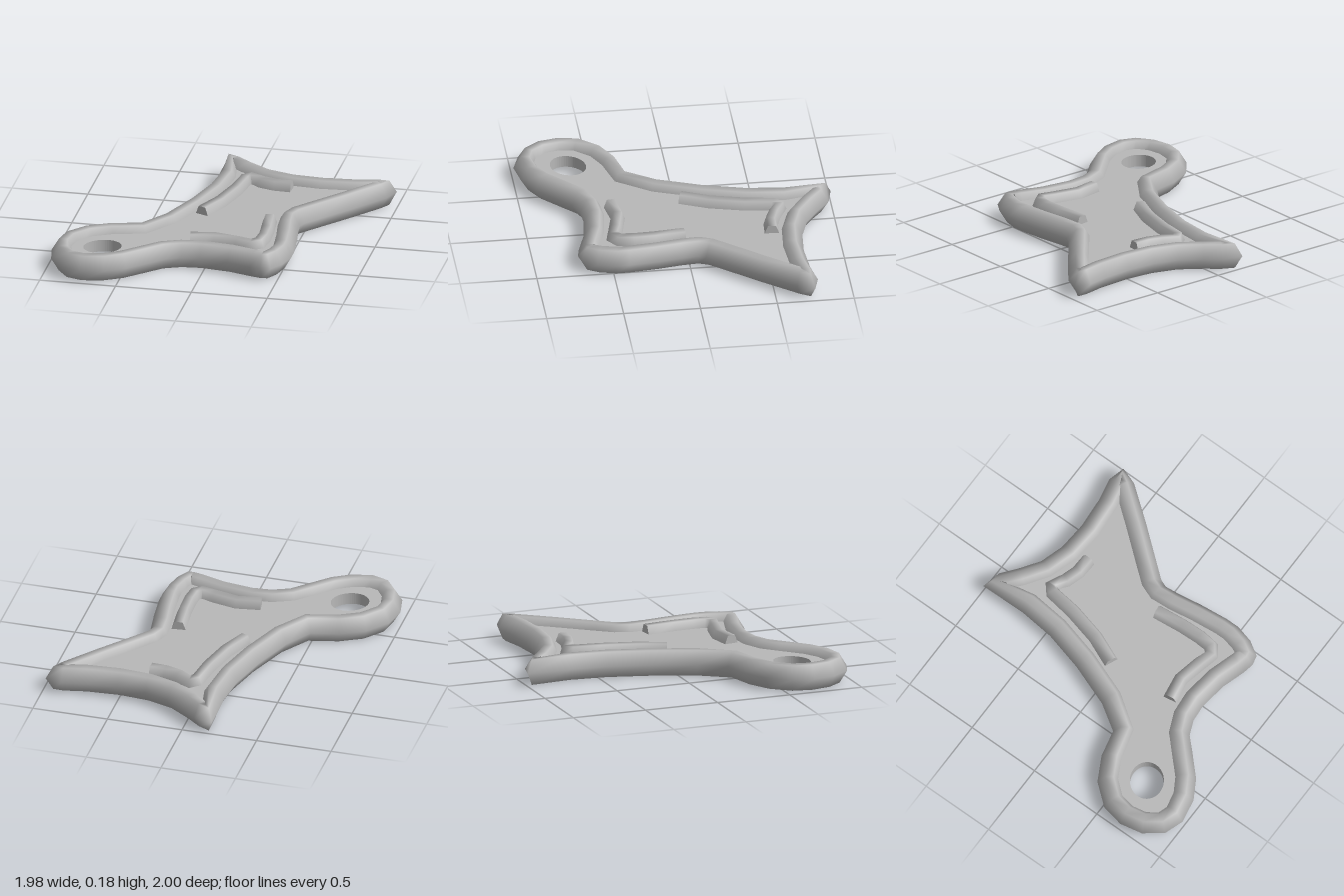
import * as THREE from 'three';

// Outer outline as [x, z], from the rear tip round by the model's left
const OUTLINE = [
  [-0.2, -1], [-0.07, -0.97], [0.03, -0.89], [0.16, -0.8], [0.32, -0.75], [0.51, -0.735], [0.72, -0.75],
  [0.875, -0.78], [0.985, -0.75], [0.945, -0.635], [0.77, -0.41], [0.585, -0.185], [0.515, -0.1],
  [0.495, -0.05], [0.505, 0.05], [0.53, 0.21], [0.55, 0.4], [0.55, 0.49], [0.52, 0.61], [0.46, 0.705],
  [0.395, 0.72], [0.32, 0.705], [0.16, 0.655], [-0.025, 0.63], [-0.14, 0.64], [-0.235, 0.68],
  [-0.315, 0.76], [-0.45, 0.89], [-0.58, 0.965], [-0.74, 0.995], [-0.87, 0.95], [-0.96, 0.83],
  [-0.99, 0.68], [-0.96, 0.53], [-0.845, 0.39], [-0.685, 0.305], [-0.505, 0.265], [-0.395, 0.095],
  [-0.29, -0.185], [-0.22, -0.45], [-0.195, -0.69],
];
const RIDGES = [
  [[-0.145, -0.015], [-0.065, -0.2], [-0.01, -0.42], [0.015, -0.6], [0.05, -0.635], [0.135, -0.585],
    [0.23, -0.555], [0.335, -0.55]],
  [[0.31, 0.015], [0.33, 0.21], [0.335, 0.345], [0.325, 0.44], [0.28, 0.475], [0.19, 0.45],
    [0.03, 0.415], [-0.125, 0.44]],
];

// Unit side direction at each path point, in the ground plane
function sideNormals(points, closed) {
  const n = points.length;
  const p = points.map(([x, z]) => new THREE.Vector2(x, z));
  const dir = (a, b) => p[b].clone().sub(p[a]).normalize();
  return p.map((_, i) => {
    const t = new THREE.Vector2();
    if (closed || i > 0) t.add(dir((i + n - 1) % n, i));
    if (closed || i < n - 1) t.add(dir(i, (i + 1) % n));
    t.normalize();
    return [-t.y, t.x];
  });
}

// Sweeps a [side offset, height] profile along a flat path
function sweep(points, profile, closed) {
  const normals = sideNormals(points, closed);
  const n = points.length, m = profile.length;
  const pos = [], index = [];
  const addRing = (i) => profile.forEach(([s, y]) =>
    pos.push(points[i][0] + normals[i][0] * s, y, points[i][1] + normals[i][1] * s));
  for (let i = 0; i < n; i++) addRing(i);
  for (let i = 0; i < (closed ? n : n - 1); i++) {
    for (let j = 0; j < m; j++) {
      const k = ((i + 1) % n) * m, j2 = (j + 1) % m;
      index.push(i * m + j, i * m + j2, k + j, k + j, i * m + j2, k + j2);
    }
  }
  if (!closed) { // separate end rings keep the cut ends crisp
    addRing(0);
    addRing(n - 1);
    for (let j = 1; j < m - 1; j++) {
      const a = n * m, b = a + m;
      index.push(a, a + j + 1, a + j, b, b + j, b + j + 1);
    }
  }
  const g = new THREE.BufferGeometry();
  g.setAttribute('position', new THREE.Float32BufferAttribute(pos, 3));
  g.setIndex(index);
  g.computeVertexNormals();
  return g;
}

export function createModel() {
  const group = new THREE.Group();
  const grey = new THREE.MeshStandardMaterial({ color: 0xb8b8b8, side: THREE.DoubleSide });
  grey.name = 'grey';
  const add = (name, geometry) => {
    const mesh = new THREE.Mesh(geometry, grey);
    mesh.name = name;
    group.add(mesh);
  };

  // Six-sided raised rim around the whole outline
  add('rim', sweep(OUTLINE, [[0, 0.084], [0.05, 0.168], [0.105, 0.168], [0.16, 0.084], [0.105, 0], [0.05, 0]], true));

  // Recessed plate with the hanging hole
  const inward = sideNormals(OUTLINE, true);
  const shape = new THREE.Shape(OUTLINE.map(([x, z], i) =>
    new THREE.Vector2(x + inward[i][0] * 0.04, z + inward[i][1] * 0.04)));
  const hole = new THREE.Path();
  hole.absellipse(-0.66, 0.65, 0.126, 0.11, 0, Math.PI * 2, true, -0.6);
  shape.holes.push(hole);
  const plate = new THREE.ExtrudeGeometry(shape, { depth: 0.08, bevelEnabled: false, curveSegments: 32 });
  plate.rotateX(Math.PI / 2).translate(0, 0.124, 0);
  add('plate', plate);

  // Bent ridges standing out of both faces of the plate
  const ridgeProfile = [[-0.06, 0.09], [-0.026, 0.178], [0.026, 0.178], [0.06, 0.09], [0.026, 0.002], [-0.026, 0.002]];
  RIDGES.forEach((path, i) => add(i ? 'frontRidge' : 'rearRidge', sweep(path, ridgeProfile, false)));

  return group;
}
